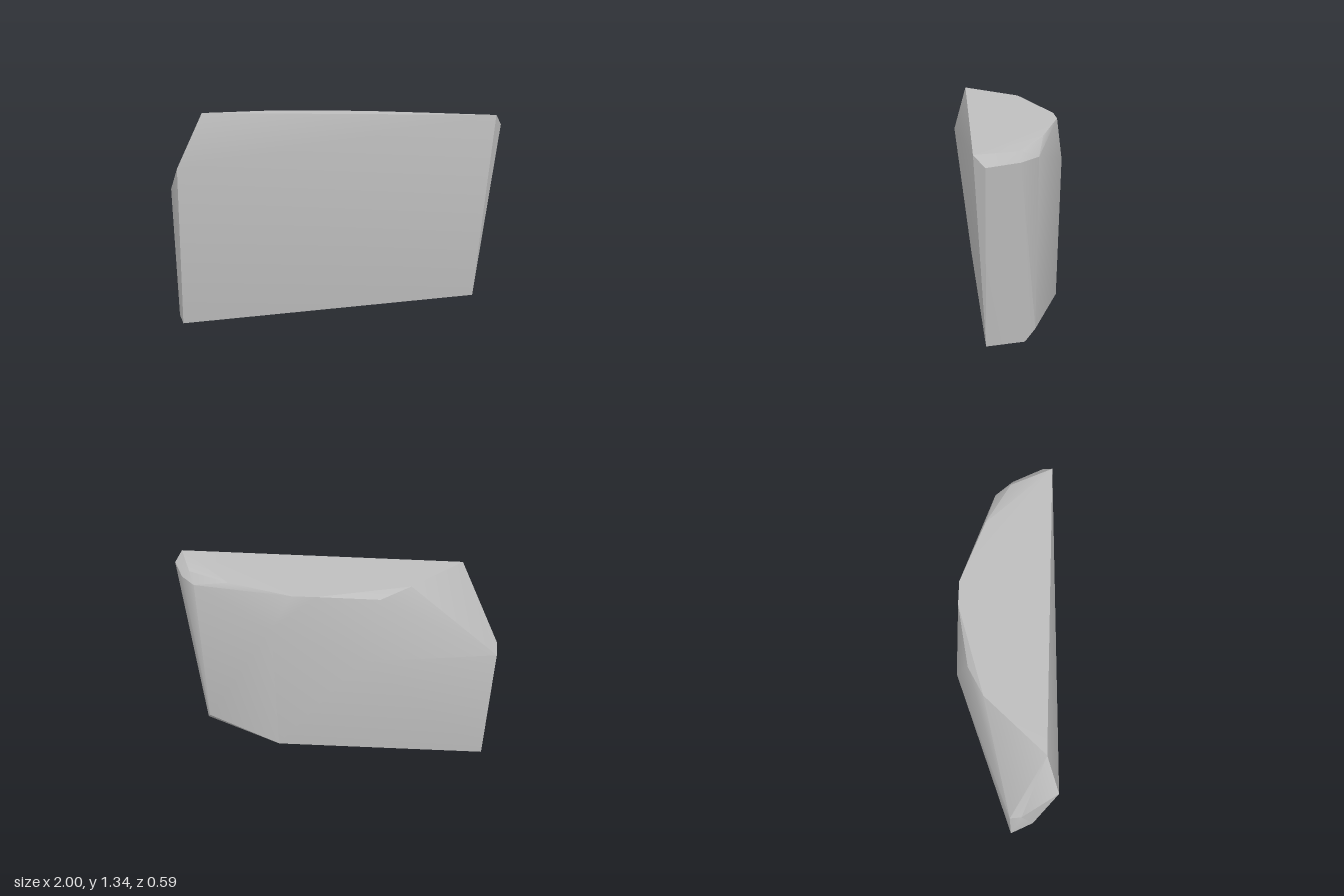
import * as THREE from 'three';
import { ConvexGeometry } from 'three/addons/geometries/ConvexGeometry.js';
import { toCreasedNormals } from 'three/addons/utils/BufferGeometryUtils.js';

export function createModel() {
  const group = new THREE.Group();
  group.name = 'rockSlab';
  const stone = new THREE.MeshStandardMaterial({ color: 0xbebebe });
  stone.name = 'light grey stone';

  // Corners of the chipped slab, wrapped in a convex skin
  const corners = [
    // broad front face
    [-0.93, 0, 0.187], [0.88, 0.25, 0.187], [0.965, 1.335, 0.243], [-0.75, 1.335, 0.213], [-0.89, 1.01, 0.295],
    // narrow end at -x
    [-1, 0, 0.04], [-1, 0.855, 0.095], [-1, 0.8, 0.03],
    // rounded end at +x, upper then lower
    [1, 1.28, 0.188], [0.91, 1.275, 0.01], [0.815, 1.275, -0.09], [0.85, 0.25, -0.025], [0.82, 0.31, -0.085],
    // bulging back
    [0.335, 0.26, -0.277], [0.34, 1.12, -0.287], [-0.19, 0.93, -0.297], [-0.27, 1.29, -0.21],
    // back rim of the top
    [-0.44, 1.333, -0.12], [0.08, 1.328, -0.275], [0.22, 1.327, -0.275], [0.6, 1.325, -0.14], [0.86, 1.318, 0],
  ].map((p) => new THREE.Vector3(...p));

  const slab = new THREE.Mesh(toCreasedNormals(new ConvexGeometry(corners), 0.55), stone);
  slab.name = 'slab';
  group.add(slab);
  return group;
}
